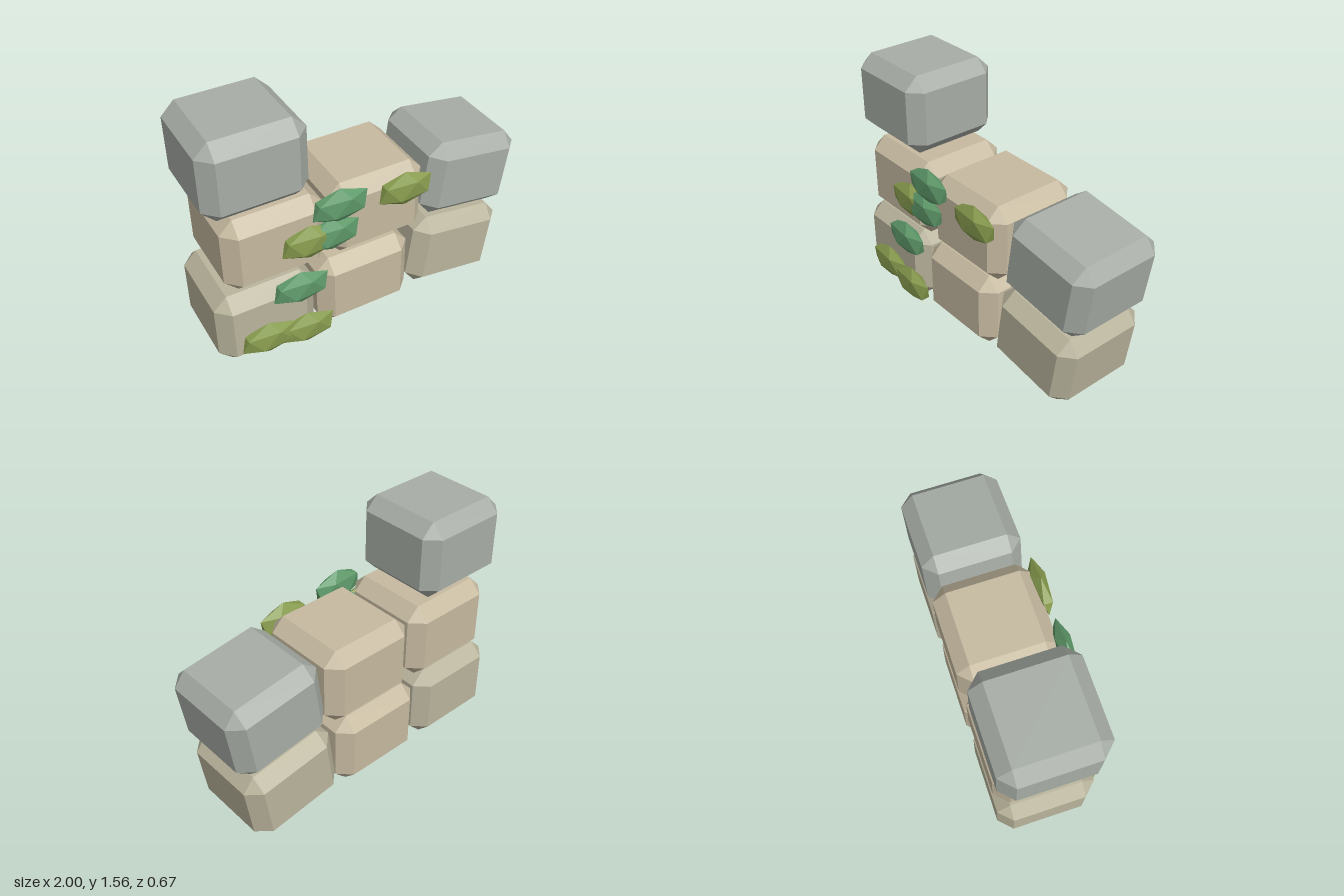
import * as THREE from 'three';
import { ConvexGeometry } from 'three/addons/geometries/ConvexGeometry.js';

const material = (color) => new THREE.MeshStandardMaterial({ color, flatShading: true });

// Box whose edges and corners are cut off: three points around each corner
function chamferedBox(w, h, d, c) {
  const points = [];
  for (const sx of [-1, 1]) for (const sy of [-1, 1]) for (const sz of [-1, 1]) {
    const x = w / 2, y = h / 2, z = d / 2;
    points.push(
      new THREE.Vector3(sx * x, sy * (y - c), sz * (z - c)),
      new THREE.Vector3(sx * (x - c), sy * y, sz * (z - c)),
      new THREE.Vector3(sx * (x - c), sy * (y - c), sz * z)
    );
  }
  return new ConvexGeometry(points);
}

export function createModel() {
  const model = new THREE.Group();
  model.name = 'ruinedWall';

  const tan = material(0xc6baa0), khaki = material(0xb9b49c), grey = material(0xa7ada6);
  const olive = material(0x889c4e), green = material(0x5f9a6a);

  // Stone blocks: x, y, tilt, material
  const blockGeometry = chamferedBox(0.615, 0.49, 0.605, 0.08);
  const tilt = -0.143;
  const blocks = [
    [-0.693, 0.278, 0, khaki],
    [-0.053, 0.278, 0, tan],
    [0.59, 0.277, tilt, khaki],
    [-0.613, 0.794, 0, tan],
    [0.027, 0.794, 0, tan],
    [0.671, 0.797, tilt, grey],
    [-0.693, 1.313, 0, grey],
  ];
  blocks.forEach(([x, y, angle, mat], i) => {
    const block = new THREE.Mesh(blockGeometry, mat);
    block.name = `stoneBlock${i + 1}`;
    block.position.set(x, y, -0.033);
    block.rotation.z = angle;
    model.add(block);
  });

  // Ivy leaves: flattened icosahedron turned so that a vertex points straight up
  const leafGeometry = new THREE.IcosahedronGeometry(1, 0);
  leafGeometry.rotateZ(-Math.atan(2 / (1 + Math.sqrt(5))));
  leafGeometry.scale(0.191, 0.113, 0.053);
  leafGeometry.computeVertexNormals();
  const leaves = [
    [-0.25, 0.975, green],
    [-0.305, 0.795, green],
    [-0.44, 0.795, olive],
    [-0.507, 0.485, green],
    [0.17, 0.93, olive],
    [-0.722, 0.192, olive],
    [-0.478, 0.15, olive],
  ];
  leaves.forEach(([x, y, mat], i) => {
    const leaf = new THREE.Mesh(leafGeometry, mat);
    leaf.name = `ivyLeaf${i + 1}`;
    leaf.position.set(x, y, 0.29);
    model.add(leaf);
  });

  return model;
}
